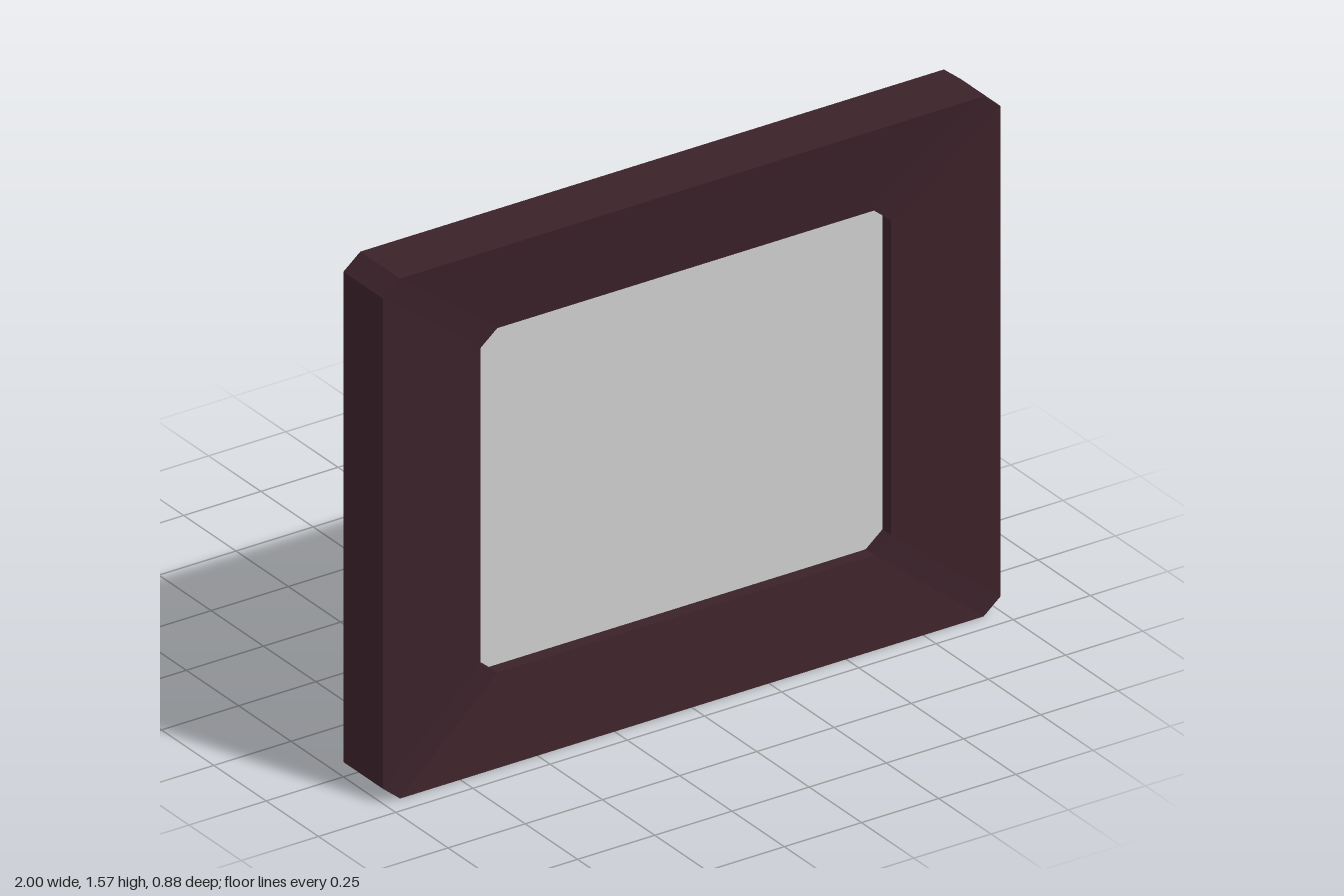
import * as THREE from 'three';

// Corners of a rectangle with cut corners at depth z, counter-clockwise seen from the front
function cutRect(x0, x1, y0, y1, z, cx = 0.055, cy = 0.045) {
  return [
    [x0 + cx, y0], [x1 - cx, y0], [x1, y0 + cy], [x1, y1 - cy],
    [x1 - cx, y1], [x0 + cx, y1], [x0, y1 - cy], [x0, y0 + cy],
  ].map(([x, y]) => new THREE.Vector3(x, y, z));
}

// Faceted skin through rings of equal length, closed at the last ring
function loft(rings) {
  const pos = [];
  const tri = (...pts) => pts.forEach((p) => pos.push(p.x, p.y, p.z));
  const n = rings[0].length;
  for (let r = 0; r < rings.length - 1; r++) {
    const near = rings[r], far = rings[r + 1];
    for (let i = 0; i < n; i++) {
      const j = (i + 1) % n;
      tri(near[i], far[i], near[j]);
      tri(near[j], far[i], far[j]);
    }
  }
  const last = rings[rings.length - 1];
  for (let i = 1; i < n - 1; i++) tri(last[0], last[i + 1], last[i]);
  const geo = new THREE.BufferGeometry();
  geo.setAttribute('position', new THREE.Float32BufferAttribute(pos, 3));
  geo.computeVertexNormals();
  return geo;
}

export function createModel() {
  const group = new THREE.Group();
  const add = (name, geo, color) => {
    const mesh = new THREE.Mesh(geo, new THREE.MeshStandardMaterial({ color }));
    mesh.name = name;
    group.add(mesh);
    return mesh;
  };
  const outer = (z) => cutRect(-1, 1, 0, 1.57, z);
  const opening = (z) => cutRect(-0.665, 0.665, 0.27, 1.31, z);
  const pictureZ = 0.37;

  // Frame: recess wall, border sloping in to the opening, outer edge, dished back
  add('frame', loft([
    opening(pictureZ), opening(0.41), outer(0.44), outer(0.25), opening(0.28),
  ]), 0x3b2129);

  // Recessed picture
  const pictureShape = new THREE.Shape(opening(0).map((p) => new THREE.Vector2(p.x, p.y)));
  add('picture', new THREE.ShapeGeometry(pictureShape), 0xcccccc).position.z = pictureZ;

  // Tapered leg: wide cut-cornered root set in the dished back, narrow pointed tip
  const root = cutRect(-0.17, 0.16, 1.215, 1.463, 0.28, 0.06, 0.08);
  const tip = [
    [-0.004, 0.175, -0.41], [0.004, 0.175, -0.41], [0.058, 0.215, -0.405], [0.058, 0.232, -0.412],
    [0.004, 0.2, -0.44], [-0.004, 0.2, -0.44], [-0.058, 0.232, -0.412], [-0.058, 0.215, -0.405],
  ].map(([x, y, z]) => new THREE.Vector3(x - 0.0175, y, z));
  add('standLeg', loft([root, tip]), 0x030303);

  return group;
}
